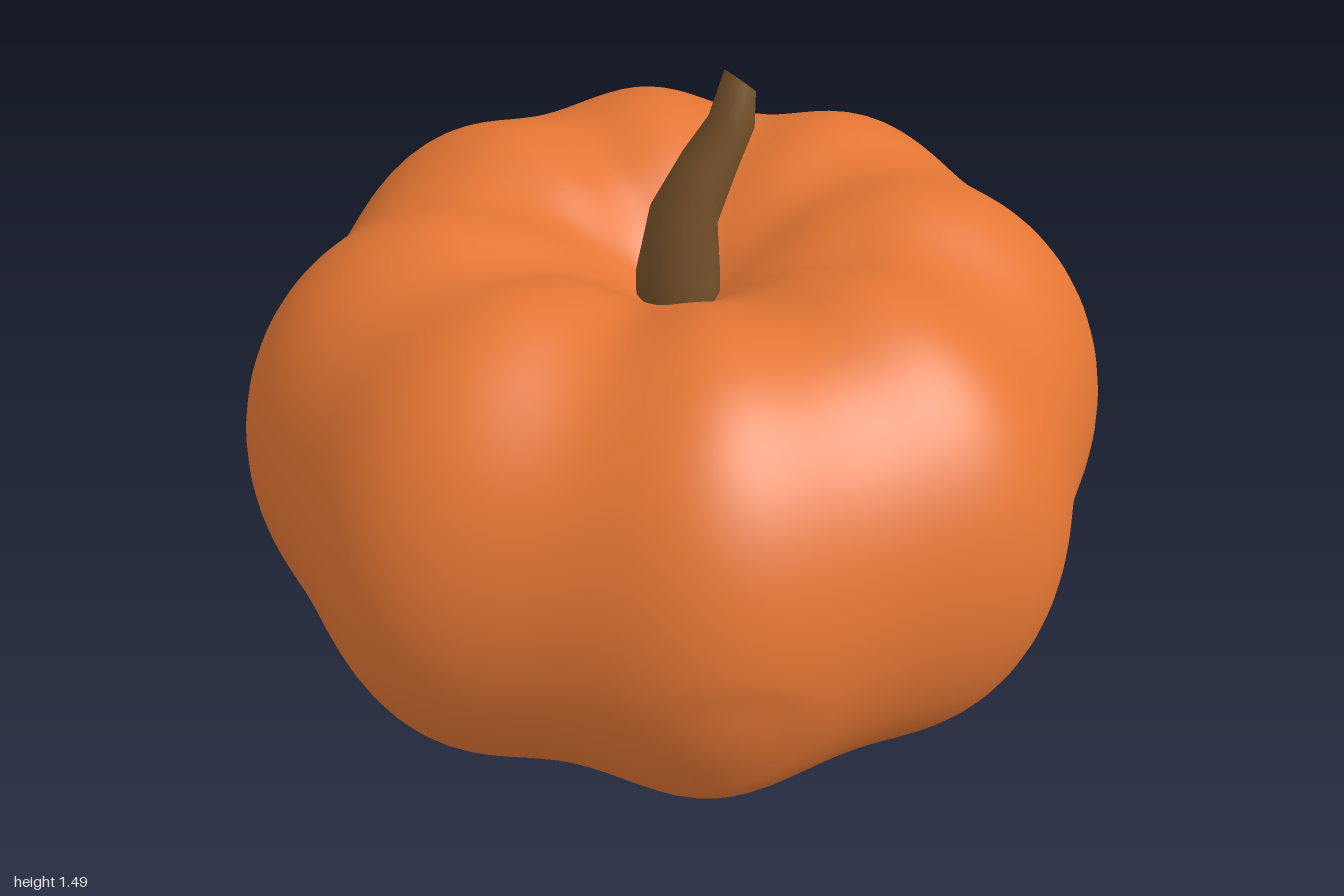
import * as THREE from 'three';
import { mergeVertices } from 'three/addons/utils/BufferGeometryUtils.js';

const MID = 0.583; // height of the widest ring

// Half cross-section of one rib, from the bottom hollow to the top hollow
function ribProfile() {
  const pts = [[0.001, 0.29], [0.08, 0.23], [0.2, 0.13], [0.34, 0.042]];
  const outer = 14;
  for (let i = 0; i <= outer; i++) {
    const a = -Math.PI / 2 + (Math.PI * i) / outer;
    pts.push([0.51 + 0.49 * Math.cos(a), MID + MID * Math.sin(a)]);
  }
  pts.push([0.34, 1.124], [0.2, 1.036], [0.08, 0.936], [0.001, 0.876]);
  const curve = new THREE.CatmullRomCurve3(pts.map(([x, y]) => new THREE.Vector3(x, y, 0)));
  return curve.getSpacedPoints(90).map((p) => new THREE.Vector2(Math.max(p.x, 0), p.y));
}

// Ribbed flesh: a lathe whose radius and height swell between the grooves
function fleshGeometry() {
  const geo = new THREE.LatheGeometry(ribProfile(), 128);
  const pos = geo.attributes.position;
  for (let i = 0; i < pos.count; i++) {
    let x = pos.getX(i), y = pos.getY(i), z = pos.getZ(i);
    const a = Math.atan2(z, x);
    // grooves on the diagonals and shallower ones on the axes
    const swell = 1.008 + 0.013 * Math.cos(4 * a) - 0.026 * Math.cos(8 * a);
    const fade = THREE.MathUtils.smoothstep(Math.hypot(x, z), 0.02, 0.45);
    x *= swell;
    z *= swell;
    y = MID + (y - MID) * (1 + 1.2 * (swell - 1.034) * fade);
    // front slightly flattened, with a faint round dent low on one side
    if (z > 0.3) {
      const flat = 0.02 * Math.exp(-(((x + 0.18) / 0.3) ** 2)) * THREE.MathUtils.smoothstep(z, 0.5, 0.95);
      const d = Math.hypot(x + 0.38, y - 0.43);
      z -= flat + 0.009 * (1 - THREE.MathUtils.smoothstep(d, 0.13, 0.2));
    }
    pos.setXYZ(i, x, y, z);
  }
  return smooth(geo);
}

// Share vertices across seams and rims for soft shading
function smooth(geo) {
  geo.deleteAttribute('uv');
  geo.deleteAttribute('normal');
  const merged = mergeVertices(geo, 1e-5);
  merged.computeVertexNormals();
  return merged;
}

// Bent, tapering stem: cylinder rings moved onto a kinked path
function stemGeometry() {
  // x, y, z, radius, tilt
  const rings = [
    [0, 0.82, 0, 0.1, 0],
    [0, 1.0, 0, 0.098, 0],
    [0.012, 1.15, 0.006, 0.08, -0.3],
    [0.072, 1.275, 0.016, 0.066, -0.4],
    [0.124, 1.365, 0.022, 0.054, -0.25],
    [0.143, 1.465, 0.026, 0.043, -0.7],
  ];
  const n = rings.length - 1;
  const geo = new THREE.CylinderGeometry(1, 1, 1, 24, n);
  const pos = geo.attributes.position;
  for (let i = 0; i < pos.count; i++) {
    const [cx, cy, cz, r, tilt] = rings[Math.round((pos.getY(i) + 0.5) * n)];
    const u = pos.getX(i) * r;
    pos.setXYZ(i, cx + u * Math.cos(tilt), cy + u * Math.sin(tilt), cz + pos.getZ(i) * r);
  }
  return smooth(geo);
}

export function createModel() {
  const group = new THREE.Group();
  group.name = 'pumpkin';
  const add = (name, geometry, color) => {
    const mesh = new THREE.Mesh(geometry, new THREE.MeshStandardMaterial({ color }));
    mesh.name = name;
    group.add(mesh);
  };
  add('flesh', fleshGeometry(), 0xe47634);
  add('stem', stemGeometry(), 0x75502a);
  return group;
}
